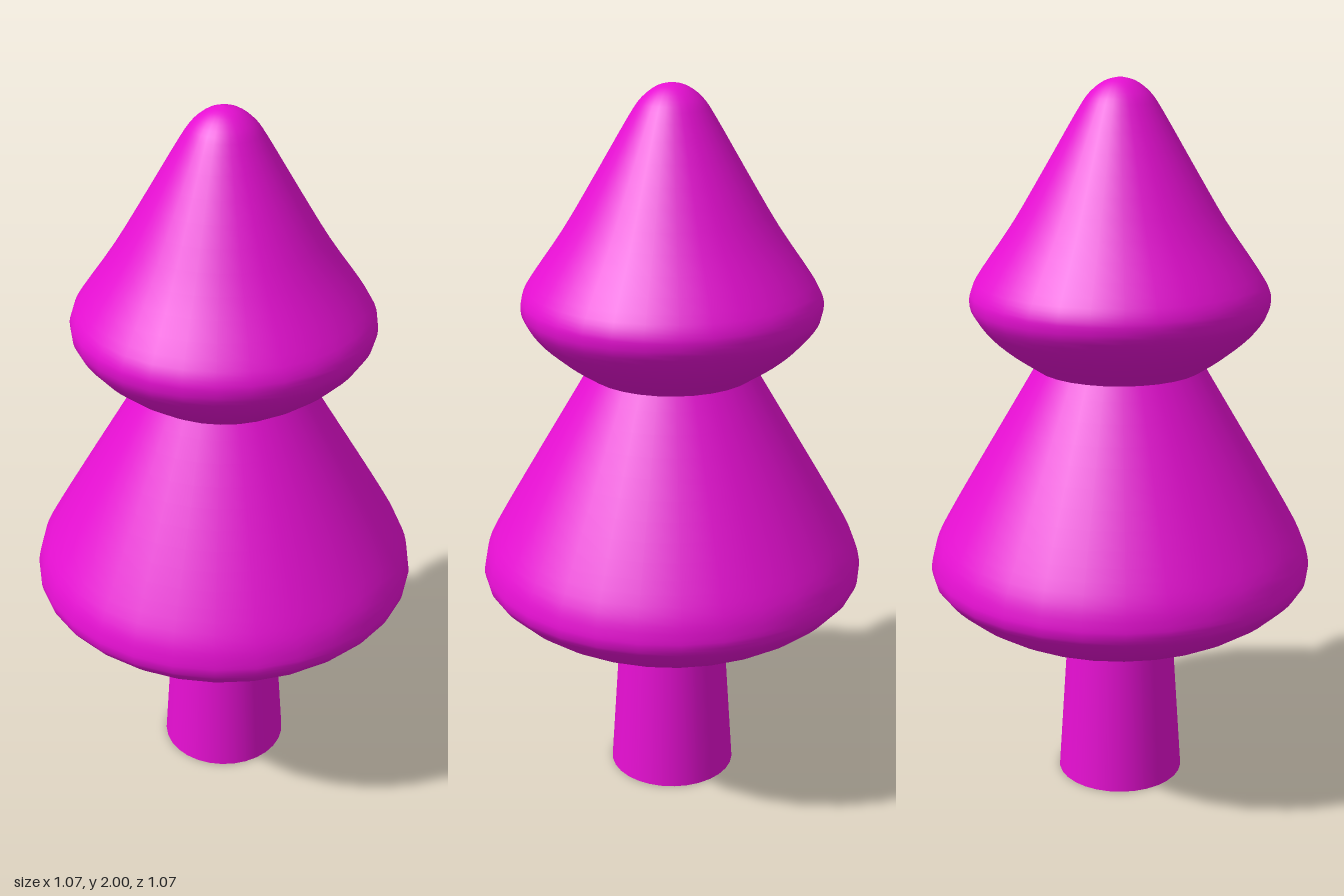
import * as THREE from 'three';

const SIDES = 30;

export function createModel() {
  const tree = new THREE.Group();
  tree.name = 'tree';
  const material = new THREE.MeshStandardMaterial({ color: 0xe60fd2, side: THREE.DoubleSide });

  // Turns a bottom-to-top profile of [radius, height] into a smooth open shell
  const addTurned = (name, profile, divisions) => {
    let points = profile.map(([r, y]) => new THREE.Vector2(r, y));
    if (divisions) points = new THREE.SplineCurve(points).getPoints(divisions);
    points.forEach((p) => { p.x = Math.max(p.x, 0); });
    const mesh = new THREE.Mesh(new THREE.LatheGeometry(points, SIDES, Math.PI / 2), material);
    mesh.name = name;
    tree.add(mesh);
  };

  // Tapered hollow trunk, running up inside the foliage
  addTurned('trunk', [[0.18, 0], [0.138, 0.64]]);

  // Wide lower tier, open underneath around the trunk
  addTurned('lowerFoliage', [
    [0.2, 0.455], [0.36, 0.495], [0.46, 0.55], [0.52, 0.605], [0.535, 0.635],
    [0.535, 0.665], [0.52, 0.72], [0.475, 0.805], [0.4, 0.935], [0.315, 1.08], [0.232, 1.222],
  ], 30);

  // Smaller upper tier with a rounded tip
  addTurned('upperFoliage', [
    [0.232, 1.222], [0.3, 1.268], [0.36, 1.32], [0.4, 1.372], [0.41, 1.408], [0.405, 1.44],
    [0.38, 1.485], [0.29, 1.615], [0.2, 1.765], [0.115, 1.91], [0.08, 1.96], [0.04, 1.99], [0, 2],
  ], 36);

  return tree;
}
